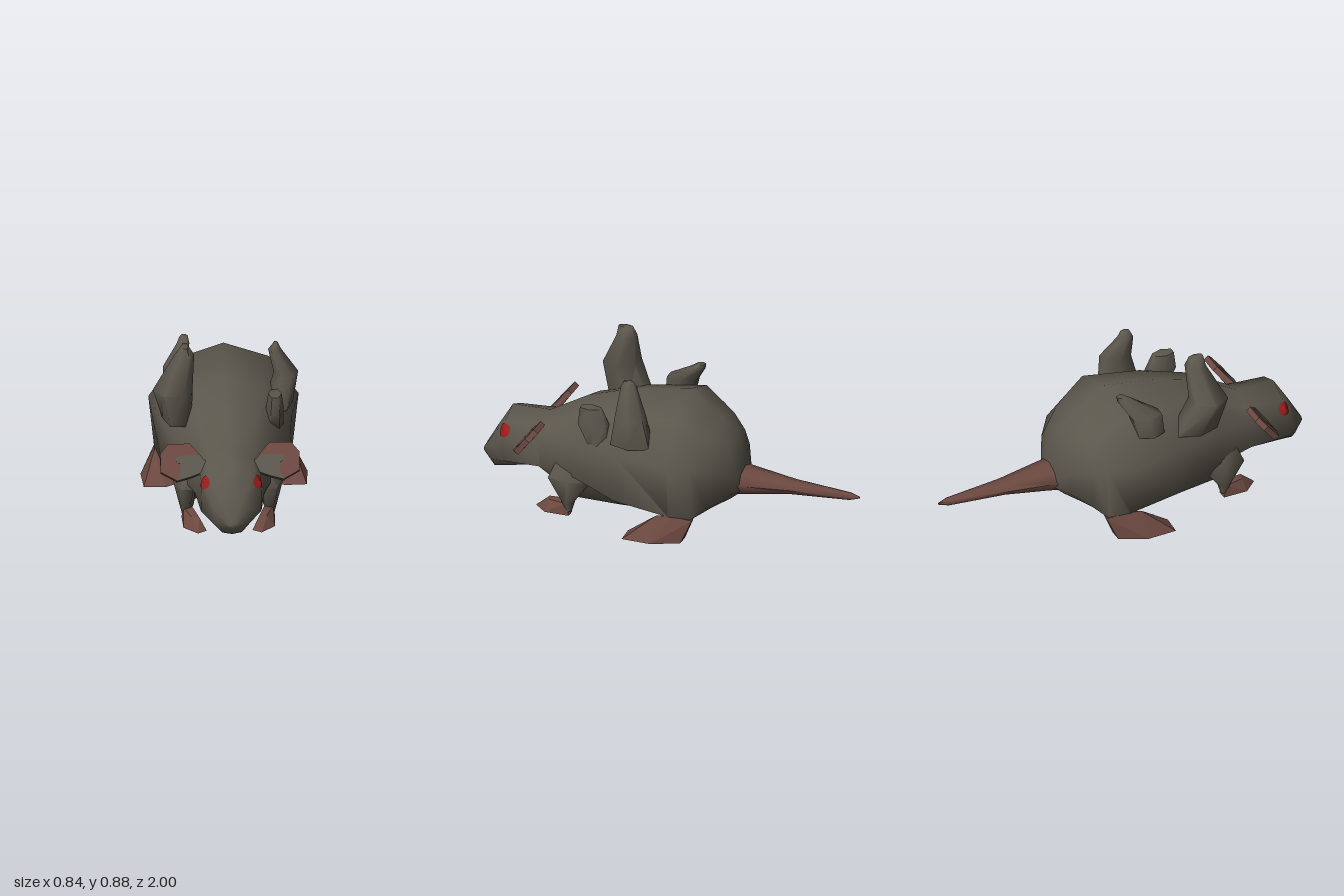
import * as THREE from 'three';
import { toCreasedNormals } from 'three/addons/utils/BufferGeometryUtils.js';
import { ConvexGeometry } from 'three/addons/geometries/ConvexGeometry.js';

const material = (name, color) => {
  const m = new THREE.MeshStandardMaterial({ color });
  m.name = name;
  return m;
};

// Closed skin through rings of equal point count, with flat end caps
function loft(rings, crease) {
  const n = rings[0].length, pos = rings.flat(2), index = [];
  for (let i = 0; i < rings.length - 1; i++) {
    for (let k = 0; k < n; k++) {
      const a = i * n + k, b = i * n + (k + 1) % n, c = a + n, d = b + n;
      index.push(a, b, d, a, d, c);
    }
  }
  const cap = (ring, start, flip) => {
    const centre = pos.length / 3;
    for (let j = 0; j < 3; j++) pos.push(ring.reduce((s, p) => s + p[j], 0) / n);
    for (let k = 0; k < n; k++) {
      const a = start + k, b = start + (k + 1) % n;
      index.push(centre, flip ? b : a, flip ? a : b);
    }
  };
  cap(rings[0], 0, true);
  cap(rings[rings.length - 1], (rings.length - 1) * n, false);
  const g = new THREE.BufferGeometry();
  g.setAttribute('position', new THREE.Float32BufferAttribute(pos, 3));
  g.setIndex(index);
  return toCreasedNormals(g, crease);
}

// Half section, top to bottom, mirrored into a full ring
function bodyRing([z, top, shoulder, side, flank, belly, bottom]) {
  const half = [shoulder, side, flank, belly].map(([x, y]) => [x, y, z]);
  const other = half.map(([x, y]) => [-x, y, z]).reverse();
  return [[0, top, z], ...half, [0, bottom, z], ...other];
}

// Upright limb or horn from [x, y, z, radiusX, radiusZ] stations, bottom to top
function limb(stations, s = 1) {
  return loft(stations.map(([x, y, z, rx, rz]) => Array.from({ length: 6 }, (_, k) => {
    const t = k * Math.PI / 3;
    return [s * x + rx * Math.cos(t), y, z - rz * Math.sin(t)];
  })), 1.25);
}

const hull = (points, s) =>
  new ConvexGeometry(points.map(([x, y, z]) => new THREE.Vector3(s * x, y, z)));

const plate = (points, s, depth) => new THREE.ExtrudeGeometry(
  new THREE.Shape(points.map(([x, y]) => new THREE.Vector2(s * x, y))),
  { depth, bevelEnabled: false });

// Thin disc pressed onto the surface of a mesh from outside
function pressedDisc(mesh, centre, normal, radius) {
  const frame = new THREE.Object3D();
  frame.position.copy(centre).addScaledVector(normal, 0.1);
  frame.lookAt(frame.position.clone().add(normal));
  frame.updateMatrix();
  const g = new THREE.RingGeometry(0, radius, 10, 4).applyMatrix4(frame.matrix);
  const p = g.attributes.position, v = new THREE.Vector3();
  const inward = normal.clone().negate();
  for (let i = 0; i < p.count; i++) {
    v.fromBufferAttribute(p, i);
    const hit = new THREE.Raycaster(v, inward).intersectObject(mesh)[0];
    v.addScaledVector(inward, (hit ? hit.distance : 0.1) - 0.004);
    p.setXYZ(i, v.x, v.y, v.z);
  }
  g.computeVertexNormals();
  return g;
}

export function createModel() {
  const model = new THREE.Group();
  model.name = 'hornedRat';
  const fur = material('greyFur', 0x5c574d);
  const skin = material('brownSkin', 0x6b4840);
  const red = material('redEye', 0x9c1c1c);
  const add = (name, geometry, mat, parent = model) => {
    const mesh = new THREE.Mesh(geometry, mat);
    mesh.name = name;
    parent.add(mesh);
    return mesh;
  };

  // Head and body: z, top, shoulder, side, flank, belly edge, bottom
  const body = add('body', loft([
    [0.998, 0.212, [0.015, 0.21], [0.022, 0.2], [0.02, 0.193], [0.01, 0.188], 0.186],
    [0.93, 0.33, [0.06, 0.31], [0.095, 0.26], [0.09, 0.18], [0.05, 0.13], 0.12],
    [0.85, 0.46, [0.115, 0.415], [0.15, 0.36], [0.152, 0.21], [0.09, 0.16], 0.15],
    [0.65, 0.46, [0.12, 0.42], [0.155, 0.36], [0.175, 0.22], [0.1, 0.2], 0.195],
    [0.44, 0.575, [0.15, 0.53], [0.25, 0.4], [0.26, 0.23], [0.18, 0.085], 0.09],
    [0.2, 0.645, [0.2, 0.58], [0.33, 0.42], [0.32, 0.16], [0.2, 0.088], 0.088],
    [-0.1, 0.69, [0.23, 0.61], [0.378, 0.4], [0.35, 0.13], [0.22, 0.105], 0.1],
    [-0.21, 0.605, [0.2, 0.54], [0.33, 0.39], [0.32, 0.118], [0.2, 0.112], 0.108],
    [-0.27, 0.56, [0.18, 0.5], [0.29, 0.38], [0.265, 0.165], [0.16, 0.128], 0.12],
    [-0.345, 0.5, [0.12, 0.45], [0.19, 0.34], [0.16, 0.2], [0.09, 0.16], 0.155],
    [-0.39, 0.33, [0.06, 0.31], [0.095, 0.25], [0.08, 0.2], [0.04, 0.185], 0.18],
  ].map(bodyRing), 1.3), fur);

  // Tail: z, centre height, half width, half height
  add('tail', loft([
    [-0.34, 0.235, 0.11, 0.083], [-0.42, 0.235, 0.093, 0.07], [-0.65, 0.232, 0.054, 0.036],
    [-0.95, 0.225, 0.022, 0.02], [-1, 0.225, 0.005, 0.005],
  ].map(([z, y, rx, ry]) => Array.from({ length: 8 }, (_, k) => {
    const t = k * Math.PI / 4;
    return [rx * Math.sin(t), y + ry * Math.cos(t), z];
  })), 1.0), skin);

  // Irregular horns on the back
  add('largeHorn', limb([[-0.25, 0.47, 0.3, 0.075, 0.125], [-0.275, 0.66, 0.365, 0.1, 0.1],
    [-0.215, 0.83, 0.32, 0.05, 0.055], [-0.213, 0.88, 0.325, 0.02, 0.04]]), fur);
  add('tallHorn', limb([[0.27, 0.46, 0.12, 0.07, 0.12], [0.305, 0.63, 0.115, 0.062, 0.085],
    [0.247, 0.77, 0.145, 0.033, 0.042], [0.253, 0.803, 0.145, 0.012, 0.025]]), fur);
  add('shortHorn', limb([[0.24, 0.43, 0.31, 0.045, 0.06], [0.24, 0.53, 0.335, 0.045, 0.088],
    [0.24, 0.62, 0.35, 0.034, 0.06]]), fur);
  add('rearHorn', limb([[-0.255, 0.52, 0.05, 0.06, 0.08], [-0.25, 0.63, 0.03, 0.058, 0.09],
    [-0.205, 0.71, -0.06, 0.032, 0.045], [-0.2, 0.74, -0.085, 0.02, 0.022]]), fur);

  for (const s of [1, -1]) {
    const side = s > 0 ? 'left' : 'right';

    // Front leg tapering into the paw
    add(side + 'FrontLeg', limb([[0.215, 0.02, 0.475, 0.018, 0.015], [0.21, 0.07, 0.48, 0.035, 0.035],
      [0.212, 0.2, 0.465, 0.066, 0.13], [0.15, 0.34, 0.42, 0.05, 0.12]], s), fur);
    add(side + 'FrontPaw', hull([[0.115, 0, 0.64], [0.16, 0, 0.67], [0.23, 0, 0.6],
      [0.235, 0, 0.47], [0.18, 0, 0.47], [0.15, 0.055, 0.6], [0.19, 0.055, 0.59],
      [0.18, 0.07, 0.51], [0.225, 0.06, 0.49]], s), skin);

    // Hind foot
    add(side + 'HindFoot', hull([[0.225, 0, 0.08], [0.3, 0, 0.13], [0.41, 0, 0.125],
      [0.42, 0, -0.03], [0.36, 0, -0.17], [0.29, 0, -0.17], [0.27, 0.06, 0.0],
      [0.35, 0.13, -0.04], [0.34, 0.13, -0.12], [0.325, 0.115, -0.22], [0.26, 0.11, -0.21]], s), skin);

    // Ear leaning back, with a fur root showing on both faces
    const ear = new THREE.Group();
    ear.name = side + 'Ear';
    ear.position.set(0, 0.387, 0.67);
    ear.rotation.x = -0.68;
    model.add(ear);
    add(side + 'EarShell', plate([[0.12, 0.0], [0.16, 0.055], [0.2, 0.1], [0.31, 0.1],
      [0.35, 0.05], [0.35, -0.045], [0.27, -0.09], [0.2, -0.07], [0.12, -0.04]], s, 0.03), skin, ear);
    const root = add(side + 'EarRoot', plate([[0.12, 0.01], [0.165, 0.04], [0.265, 0.035],
      [0.275, 0.01], [0.25, -0.005], [0.25, -0.055], [0.272, -0.093], [0.2, -0.073], [0.12, -0.043]],
    s, 0.036), fur, ear);
    root.position.z = -0.003;

    // Eye pressed onto the bend of the cheek
    const normal = new THREE.Vector3(s * 0.72, 0.4, 0.45).normalize();
    add(side + 'Eye', pressedDisc(body, new THREE.Vector3(s * 0.132, 0.37, 0.847), normal, 0.036), red);
  }
  return model;
}
